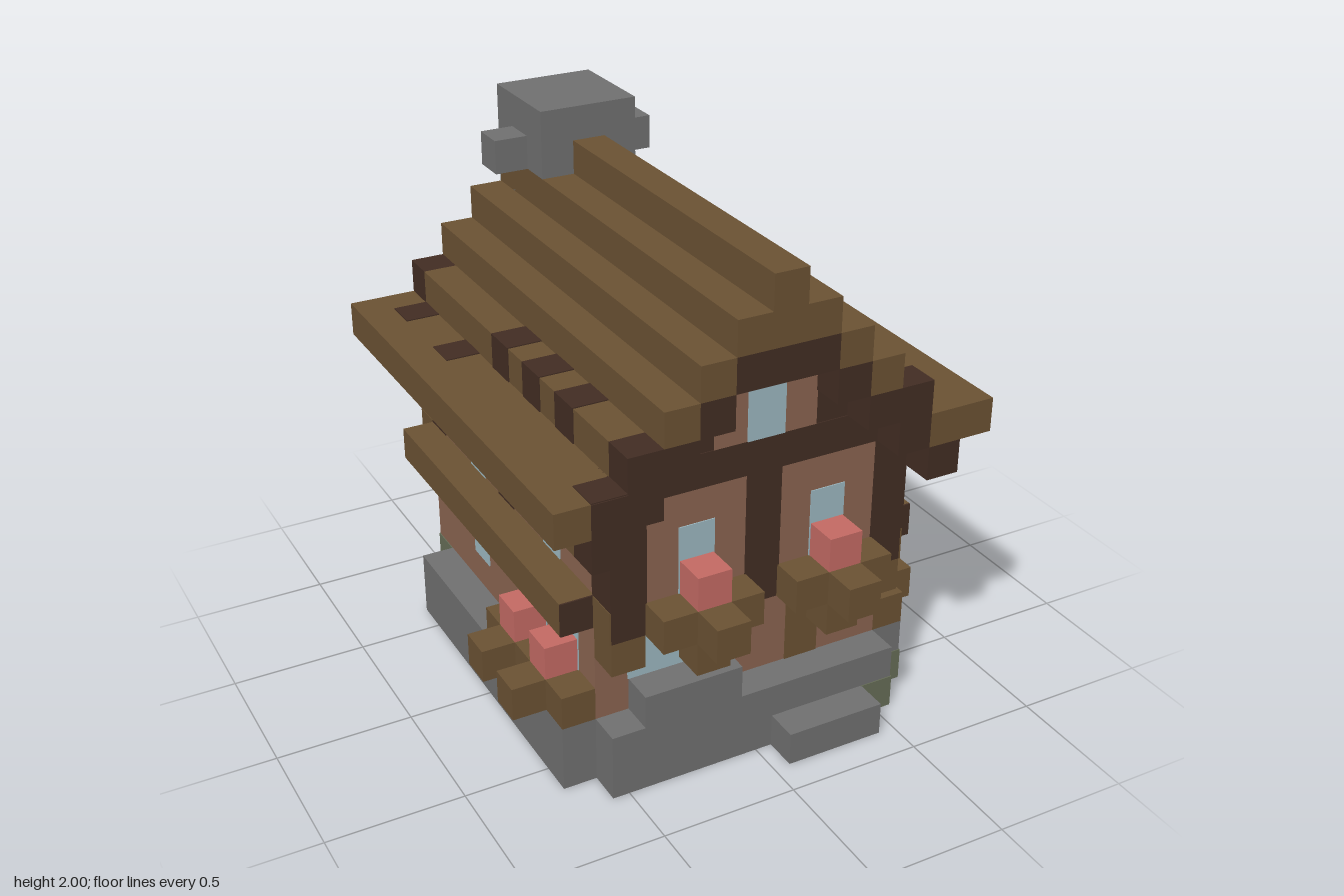
import * as THREE from 'three';

const U = 0.125; // one block

const mat = (name, color) => {
  const m = new THREE.MeshStandardMaterial({ color });
  m.name = name;
  return m;
};

export function createModel() {
  const wood = mat('wood', 0x6b5233), dark = mat('dark timber', 0x422d23);
  const wall = mat('plaster', 0x8a6450), glass = mat('glass', 0x9db8c1);
  const stone = mat('stone', 0x707070), moss = mat('moss', 0x666d57);
  const pink = mat('flower pink', 0xc46a64);
  const house = new THREE.Group();
  house.name = 'cottage';

  // Box given by its limits in blocks; grow swells it slightly to lie over a surface
  const box = (name, m, x0, x1, y0, y1, z0, z1, grow = 0) => {
    const g = new THREE.BoxGeometry((x1 - x0 + 2 * grow) * U, (y1 - y0) * U, (z1 - z0 + 2 * grow) * U);
    const mesh = new THREE.Mesh(g, m);
    mesh.position.set((x0 + x1) / 2 * U, (y0 + y1) / 2 * U, (z0 + z1) / 2 * U);
    mesh.name = name;
    house.add(mesh);
  };
  // Same box on both sides of the house
  const pair = (name, m, x0, x1, ...rest) => {
    box(name + 'Left', m, x0, x1, ...rest);
    box(name + 'Right', m, -x1, -x0, ...rest);
  };
  const P = 0.03; // thickness of painted details

  // Stone foundation with notched corners, doorstep and front step
  box('foundation', stone, -4.5, 4.5, 0, 2, -6, 6);
  pair('foundationSide', stone, 4.5, 5.5, 0, 2, -5, 5);
  box('doorstep', stone, -3.5, -0.5, 2, 3, 5, 6);
  box('frontStep', stone, 0.5, 3.5, 0, 1, 6, 7);

  // Moss patches
  box('mossFrontCorner', moss, 3.5, 4.5, 0, 1, 5, 6, P);
  box('mossSideCorner', moss, 4.5, 5.5, 0, 1, 4, 5, P);
  box('mossSide', moss, 5, 5.5, 0, 1, 0, 1, P);
  box('mossSide', moss, 5, 5.5, 0, 1, -2, -1, P);
  pair('mossBackCorner', moss, 3.5, 4.5, 0, 2, -6, -5, P);
  box('mossChimneyFoot', moss, -1.5, 2.5, 0, 1, -7, -6.5, P);
  box('mossChimneyTop', moss, -1, 0.5, 13, 14, -7, -6.5, P);

  // Walls: lower storey set back at the front, floor band, upper storey, gable
  box('lowerWall', wall, -4.5, 4.5, 2, 5, -6, 5);
  box('floorBand', dark, -4.5, 4.5, 5, 6, -6, 6);
  box('upperWall', wall, -4.5, 4.5, 6, 10, -6, 6);
  box('gableLower', dark, -2.5, 2.5, 10, 11, -6, 6);
  box('gableWall', wall, -1.5, 1.5, 10, 12, -6, 6, P);
  box('gableWindow', glass, -0.5, 0.5, 10, 12, 5.5, 6, 2 * P);

  // Dark timber frame
  for (const [z0, z1] of [[5, 6], [-6, -5]]) pair('cornerPost', dark, 3.5, 4.5, 6, 9, z0, z1, P);
  pair('sidePost', dark, 4, 4.5, 6, 9, -1, 0, P);
  box('frontPost', dark, -0.5, 0.5, 6, 9, 5.5, 6, P);
  box('gableBeam', dark, -4.5, 4.5, 9, 10, -6, 6, P);

  // Door, timber strips and windows
  box('door', glass, -3.5, -0.5, 3, 5, 4.5, 5, P);
  box('frontStrip', wood, 1.5, 2.5, 2, 4, 4.5, 5, P);
  box('backStrip', wood, -3.5, -2.5, 2, 5, -6, -5.5, P);
  pair('frontWindow', glass, 1.5, 2.5, 6, 8, 5.5, 6, P);
  pair('backWindow', glass, 1.5, 2.5, 6, 8, -6, -5.5, P);
  for (const z of [2, -3]) pair('upperSideWindow', glass, 4, 4.5, 6, 8, z, z + 1, P);
  for (const z of [3, 1, -3]) pair('lowerSideWindow', glass, 4, 4.5, 3, 5, z, z + 1, P);

  // Wooden belt beam around the sides and back, and corner brackets
  pair('sideBeam', wood, 4.5, 5.5, 5, 6, -6, 5);
  pair('sideBeamEnd', dark, 4.5, 5.5, 5, 6, 5, 5.05);
  pair('bandEnd', wood, 4.5, 4.55, 5, 6, 5.05, 6);
  pair('backBeam', wood, 1.5, 4.5, 5, 6, -7, -6);
  pair('cornerBracket', wood, 3.5, 4.5, 4, 5, 5, 6);

  // Front flower boxes under the upper windows
  pair('frontPlanter', wood, 0.5, 3.5, 5, 6, 6, 7);
  pair('frontPlanterNose', wood, 1.5, 2.5, 5, 6, 7, 8);
  pair('frontPlanterBracket', wood, 1.5, 2.5, 4, 5, 6, 7);
  pair('frontFlower', pink, 1.5, 2.5, 6, 7, 6, 7);

  // Side flower boxes: s is the side, then the extent in z and flower positions
  for (const [s, z0, z1, flowers] of [[1, 0, 5, [1, 3]], [1, -4, -1, [-3]], [-1, 0, 5, [1, 3]]]) {
    const out = (name, m, a, b, ...rest) => box(name, m, Math.min(s * a, s * b), Math.max(s * a, s * b), ...rest);
    out('sidePlanter', wood, 4.5, 5.5, 2, 3, z0, z1);
    for (const z of flowers) {
      out('sidePlanterNose', wood, 5.5, 6.5, 2, 3, z, z + 1);
      out('sideFlower', pink, 4.5, 5.5, 3, 4, z, z + 1);
    }
  }

  // Stepped roof: y of the course, inner and outer x, and inner x of its wooden end
  const courses = [
    [8, 4.5, 5.5, 5.5], [9, 4.5, 6.5, 4.5], [10, 2.5, 4.5, 4.5],
    [11, 1.5, 3.5, 2.5], [12, 0, 2.5, 1.5], [13, 0, 1.5, 0],
  ];
  for (const [y, x0, x1, xw] of courses) {
    pair('roofCourse', wood, x0, x1, y, y + 1, -6, 6);
    for (const z of [-7, 6]) {
      if (xw > x0) pair('roofTrim', dark, x0, xw, y, y + 1, z, z + 1);
      if (x1 > xw) pair('roofEnd', wood, xw, x1, y, y + 1, z, z + 1);
    }
  }
  box('roofRidge', wood, -0.5, 0.5, 14, 15, -7, 7);
  for (const z of [-7, 6]) pair('eaveTrim', dark, 3.5, 4.5, 9, 10, z, z + 1);

  // Dark shingles on the two lowest steps: x, y, z from, z to
  const shingles = [
    [3.5, 10, 4, 5], [3.5, 10, 0, 1], [3.5, 10, -3, -2], [4.5, 9, -5, -2],
    [-4.5, 10, 3, 4], [-4.5, 10, 1, 2], [-4.5, 10, -1, 0],
    [-5.5, 9, 6, 7], [-5.5, 9, -3, -2], [-5.5, 9, -6, -5],
  ];
  for (const [x, y, z0, z1] of shingles) {
    box('shingle', dark, x, x + 1, y + 0.5, y + 1.03, z0, z1, y === 10 ? P : 0);
    if (z1 === 7) box('shingleEnd', dark, x, x + 1, y, y + 1, 6.5, 7.03);
    if (y === 10) box('shingleSide', dark, x, x + 1, y, y + 0.5, z0, z1, P);
  }

  // Chimney with stepped foot and protruding stones
  box('chimney', stone, -1.5, 1.5, 0, 16, -7.02, -4);
  box('chimneyBase', stone, -2.5, 2.5, 0, 6, -7.02, -6);
  box('chimneyFoot', stone, -3.5, 3.5, 0, 2, -7, -6);
  pair('chimneyStoneSide', stone, 1.5, 2.5, 14, 15, -6, -5);
  box('chimneyStoneBack', stone, -0.5, 0.5, 14, 15, -8, -7);
  box('chimneyFootStone', stone, -3.5, -2.5, 0, 1, -8, -7);

  return house;
}
